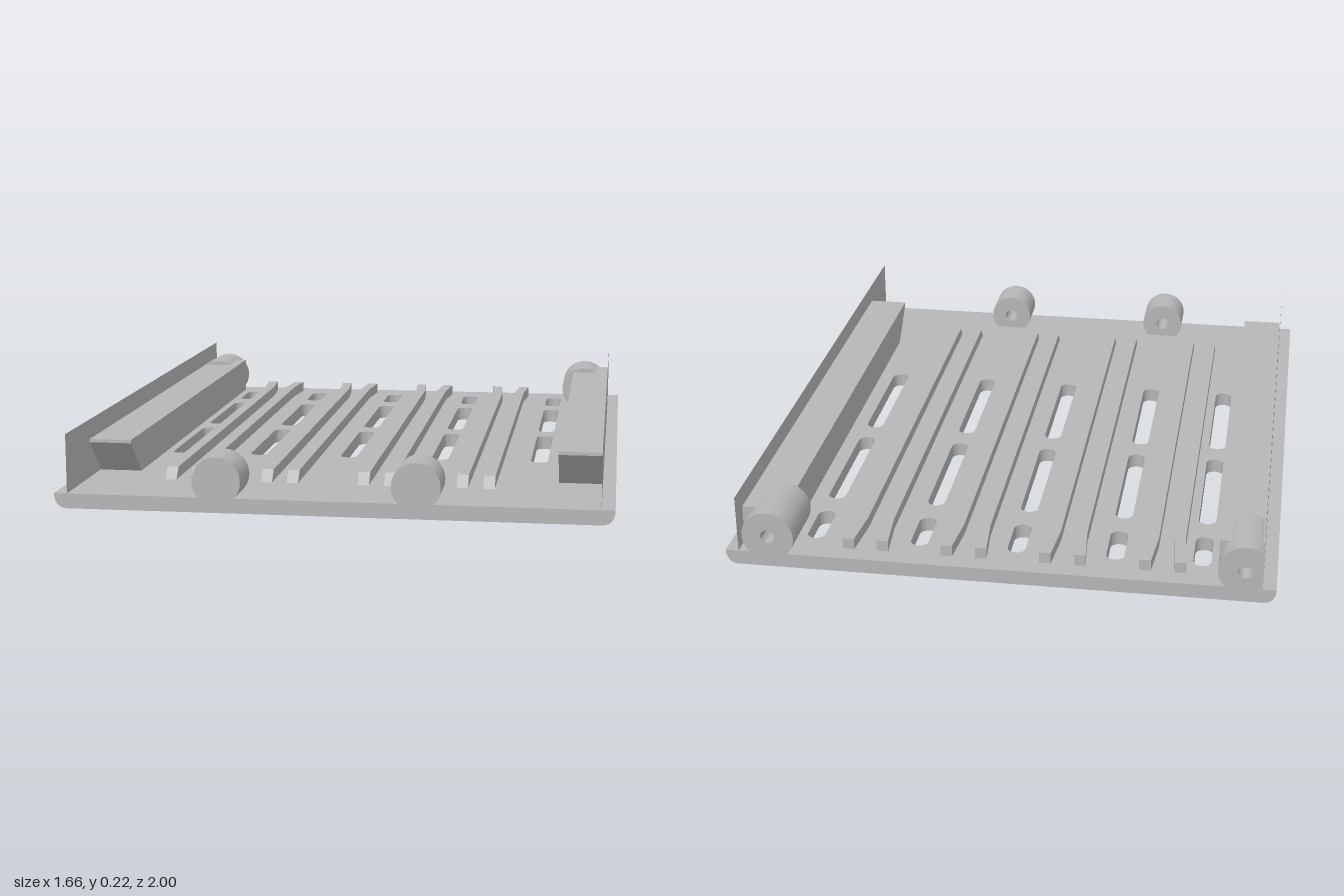
import * as THREE from 'three';
import { toCreasedNormals } from 'three/addons/utils/BufferGeometryUtils.js';

const PLATE = 0.045; // plate thickness
const WALL_X = 0.79; // side wall position

export function createModel() {
  const model = new THREE.Group();
  model.name = 'slottedTray';
  const grey = new THREE.MeshStandardMaterial({ color: 0xb6b6b6 });
  grey.name = 'grey';
  const wallGrey = grey.clone();
  wallGrey.side = THREE.DoubleSide;

  const add = (name, geometry, material = grey, parent = model) => {
    const mesh = new THREE.Mesh(geometry, material);
    mesh.name = name;
    parent.add(mesh);
    return mesh;
  };
  const polygon = (points) => new THREE.Shape(points.map(([a, b]) => new THREE.Vector2(a, b)));
  const circle = (x, y, r) => new THREE.Path().absarc(x, y, r, 0, Math.PI * 2, true);
  const extrude = (shape, depth, smooth = true) => {
    const g = new THREE.ExtrudeGeometry(shape, { depth, bevelEnabled: false, curveSegments: 20 });
    return smooth ? toCreasedNormals(g, 0.6) : g;
  };
  // Outline drawn in x and z, raised from y0 to y0 + height
  const raise = (shape, y0, height) =>
    extrude(shape, height).rotateX(Math.PI / 2).translate(0, y0 + height, 0);

  // Base plate with three rows of rounded slots
  const base = polygon([[-WALL_X, -1], [WALL_X, -1], [WALL_X, 1], [-WALL_X, 1]]);
  const r = 0.0275;
  for (const x of [-0.605, -0.343, -0.042, 0.258, 0.582]) {
    for (const [z0, z1] of [[-0.89, -0.715], [-0.63, -0.18], [-0.1, 0.355]]) {
      const slot = new THREE.Path();
      slot.absarc(x, z1 - r, r, 0, Math.PI, false);
      slot.absarc(x, z0 + r, r, Math.PI, Math.PI * 2, false);
      slot.closePath();
      base.holes.push(slot);
    }
  }
  add('basePlate', raise(base, 0, PLATE));

  for (const side of [1, -1]) {
    const label = side > 0 ? 'left' : 'right';

    // Plate edge, rounded underneath
    const edge = new THREE.Shape();
    edge.moveTo(side * WALL_X, 0);
    edge.quadraticCurveTo(side * 0.825, 0, side * 0.83, 0.038);
    edge.lineTo(side * 0.83, PLATE);
    edge.lineTo(side * WALL_X, PLATE);
    edge.closePath();
    add(label + 'RoundedEdge', extrude(edge, 2).translate(0, 0, -1));

    // Thin side wall with two screw holes
    const wall = polygon([[-1, PLATE], [1, PLATE], [1, 0.225], [-1, 0.225]]);
    for (const z of [0.505, -0.605]) wall.holes.push(circle(z, 0.1, 0.021));
    add(label + 'SideWall',
      new THREE.ShapeGeometry(wall, 16).rotateY(-Math.PI / 2).translate(side * WALL_X, 0, 0), wallGrey);

    // Rail inside the wall, its front end cut back below
    const rail = polygon([[-0.94, PLATE], [0.65, PLATE], [0.765, 0.155], [0.765, 0.165], [-0.94, 0.165]]);
    add(label + 'Rail',
      extrude(rail, 0.131, false).rotateY(-Math.PI / 2).translate(side > 0 ? 0.788 : -0.657, 0, 0));
  }

  // Pairs of guide ribs, flared at the back and sloped at the front
  for (const x of [-0.492, -0.192, 0.108, 0.41]) {
    const pair = new THREE.Group();
    pair.name = 'guideRibPair';
    pair.position.x = x;
    model.add(pair);
    for (const s of [1, -1]) {
      const outline = polygon([
        [s * 0.023, 0.765], [s * 0.058, 0.765], [s * 0.058, -0.8],
        [s * 0.07, -0.94], [s * 0.035, -0.94], [s * 0.023, -0.8],
      ]);
      const g = extrude(outline, 0.035, false).rotateX(Math.PI / 2).translate(0, PLATE + 0.035, 0);
      const p = g.attributes.position;
      for (let i = 0; i < p.count; i++) {
        if (p.getZ(i) > 0.76 && p.getY(i) > 0.06) p.setZ(i, 0.735);
      }
      g.computeVertexNormals();
      add('guideRib', g, grey, pair);
    }
  }

  // Round lugs with a blind pin hole facing the back; cut limits the -x side
  const lug = (name, x, y, radius, z0, z1, cut = radius) => {
    const group = new THREE.Group();
    group.name = name;
    group.position.set(x, y, z0);
    model.add(group);
    const a = Math.acos(-cut / radius);
    const outline = () => new THREE.Shape().absarc(0, 0, radius, -a, a, false);
    const drilled = outline();
    drilled.holes.push(circle(0, 0, 0.022));
    const depth = (z1 - z0) * 0.75;
    add('drilledEnd', extrude(drilled, depth), grey, group);
    add('solidEnd', extrude(outline(), z1 - z0 - depth).translate(0, 0, depth), grey, group);
  };
  lug('rightFrontLug', -0.337, 0.094, 0.073, 0.865, 1);
  lug('leftFrontLug', 0.255, 0.094, 0.073, 0.865, 1);
  lug('leftRearHinge', 0.697, 0.1, 0.08, -1, -0.795);
  lug('rightRearHinge', -0.737, 0.1, 0.08, -1, -0.795, 0.053);

  // Centre the model
  model.position.set(0, 0, 0);
  return model;
}
